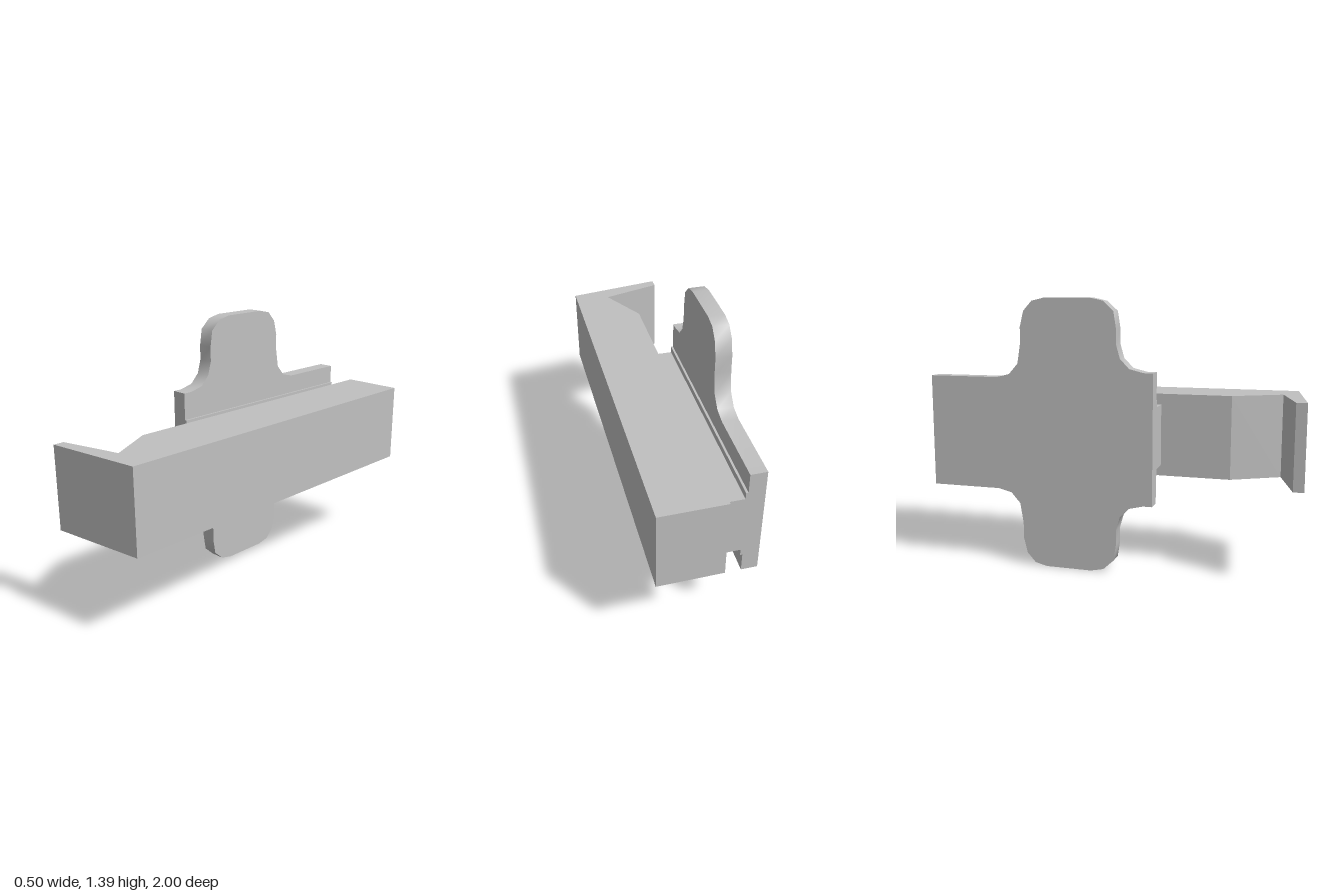
import * as THREE from 'three';
import { toCreasedNormals } from 'three/addons/utils/BufferGeometryUtils.js';

const MID_Y = 0.695;
const grey = new THREE.MeshStandardMaterial({ color: 0xc0c0c0 });
grey.name = 'plain grey';

function extrude(points, depth) {
  const shape = new THREE.Shape(points.map(([x, y]) => new THREE.Vector2(x, y)));
  return new THREE.ExtrudeGeometry(shape, { depth, bevelEnabled: false });
}

export function createModel() {
  const model = new THREE.Group();
  const add = (name, geometry) => {
    const mesh = new THREE.Mesh(geometry, grey);
    mesh.name = name;
    model.add(mesh);
    return mesh;
  };

  // Latch bar with hooked front end: plan outline (x, z) raised along y
  const plan = [[-0.07, -1], [0.25, -1], [0.25, 0.93], [-0.245, 0.998],
    [-0.245, 0.945], [0.065, 0.865], [-0.07, 0.625]];
  const bar = extrude(plan.map(([x, z]) => [x, -z]), 0.425);
  bar.rotateX(-Math.PI / 2);
  add('hookedBar', toCreasedNormals(bar, 0.3)).position.y = 0.484;

  // Side plate with rounded tabs: upper outline (z, y above middle), mirrored below
  const upper = [[0.267, 0.333], [0.22, 0.333], [0.147, 0.351], [0.1, 0.4], [0.08, 0.47],
    [0.08, 0.547], [0.067, 0.63], [0.013, 0.68], [-0.055, 0.695],
    [-0.295, 0.695], [-0.36, 0.68], [-0.405, 0.63], [-0.425, 0.55],
    [-0.425, 0.47], [-0.442, 0.365], [-0.49, 0.311], [-0.56, 0.293], [-0.933, 0.293]];
  const lower = upper.map(([z, y]) => [z, -y]).reverse();
  const plate = extrude([...upper, ...lower], 0.08);
  plate.rotateY(-Math.PI / 2);
  add('tabbedPlate', toCreasedNormals(plate, 0.8)).position.set(-0.175, MID_Y, 0);

  // Stepped rail joining the plate to the bar
  const block = (name, x0, x1, height) =>
    add(name, new THREE.BoxGeometry(x1 - x0, height, 1.2)).position.set((x0 + x1) / 2, MID_Y, -0.333);
  block('railLip', -0.175, -0.164, 0.385);
  block('rail', -0.164, -0.07, 0.315);

  return model;
}
